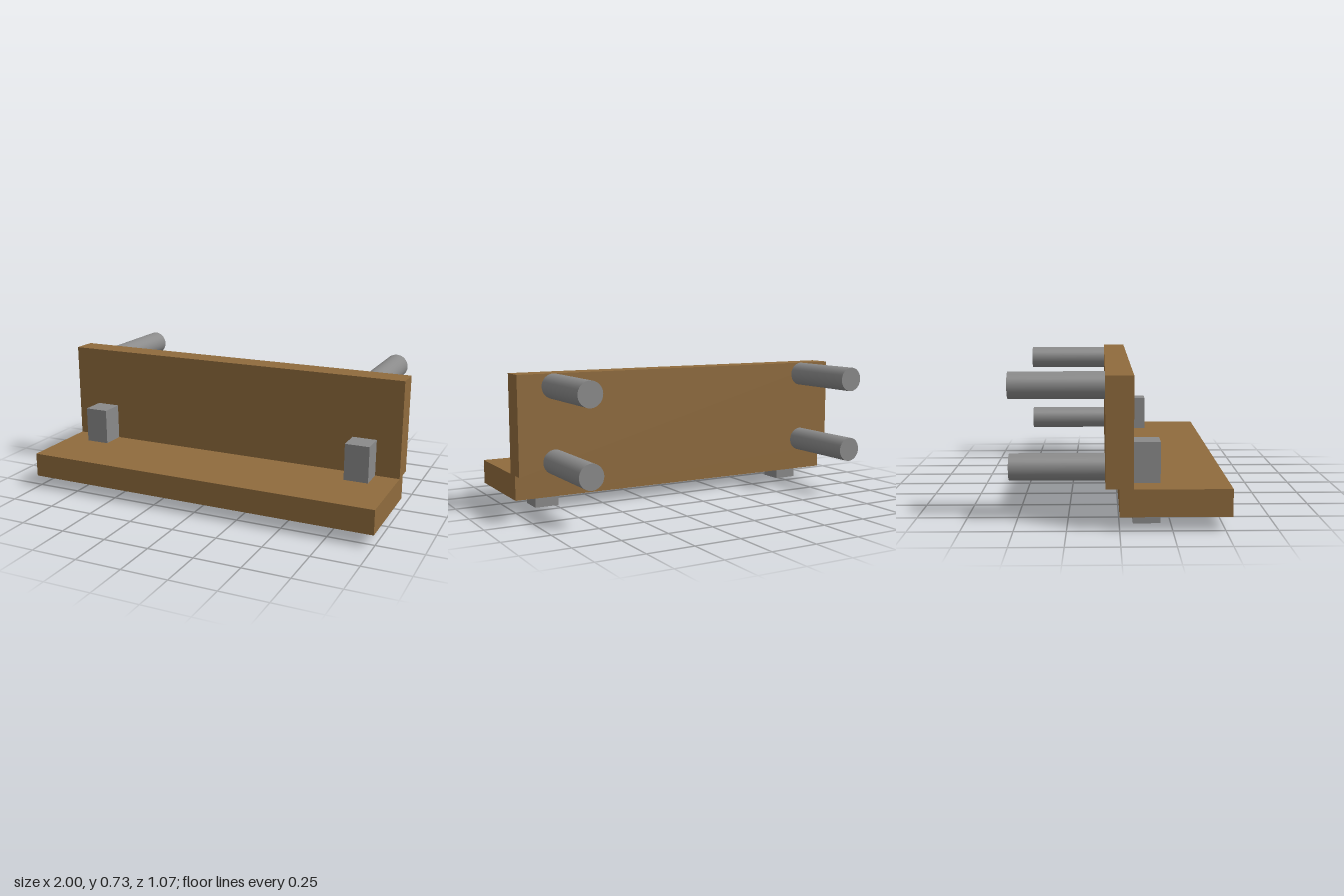
import * as THREE from 'three';

export function createModel() {
  const u = 1 / 15; // half the board thickness
  const wood = new THREE.MeshStandardMaterial({ color: 0x8f6b3d });
  wood.name = 'wood';
  const metal = new THREE.MeshStandardMaterial({ color: 0x8a8a8a });
  metal.name = 'metal';

  const model = new THREE.Group();
  model.name = 'shelf';

  function add(name, geometry, material, x, y, z) {
    const mesh = new THREE.Mesh(geometry, material);
    mesh.name = name;
    mesh.position.set(x, y, z);
    model.add(mesh);
  }

  // Horizontal and upright boards
  add('shelfBoard', new THREE.BoxGeometry(2, 2 * u, 8 * u), wood, 0, 2 * u, 4 * u);
  add('backBoard', new THREE.BoxGeometry(2, 8 * u, 2 * u), wood, 0, 7 * u, 0);

  const pegGeometry = new THREE.BoxGeometry(2 * u, 6 * u, 2 * u);
  const rodGeometry = new THREE.CylinderGeometry(u, u, 7 * u, 32).rotateX(Math.PI / 2);

  for (const [side, x] of [['left', 0.8], ['right', -0.8]]) {
    // Square peg through the shelf board
    add(side + 'Peg', pegGeometry, metal, x, 3 * u, 2 * u);
    // Round rods out of the back board
    add(side + 'UpperRod', rodGeometry, metal, x, 10 * u, -4.5 * u);
    add(side + 'LowerRod', rodGeometry, metal, x, 4 * u, -4.5 * u);
  }

  return model;
}
